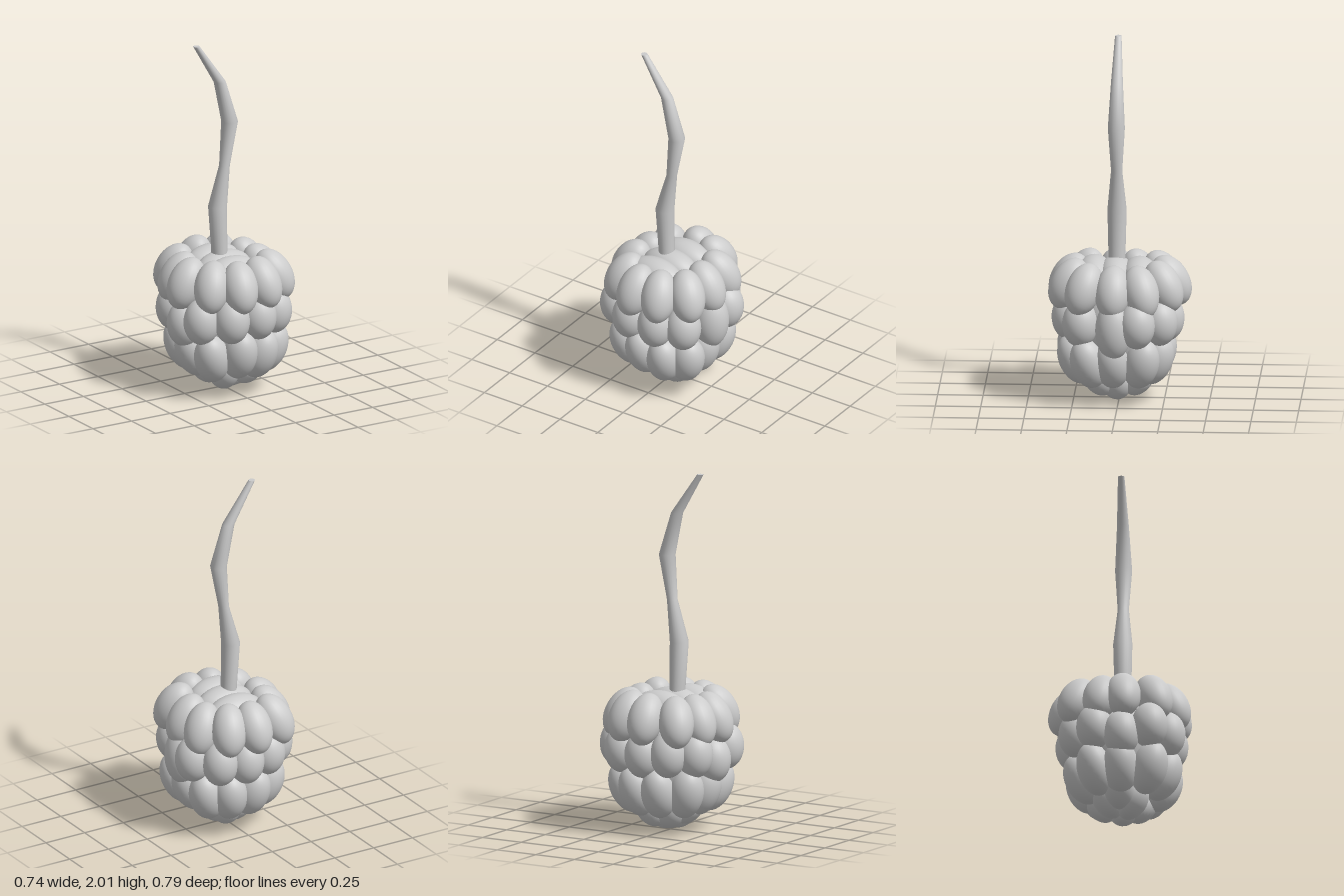
import * as THREE from 'three';

const material = new THREE.MeshStandardMaterial({ color: 0xcccccc });
const ball = new THREE.SphereGeometry(1, 28, 20);

// One row of drupelets: [x, y, z, optional half length] per lump,
// size = [half width, half length, half depth], tilt leans the tops outward.
function drupeletRow(name, lumps, size, tilt) {
  const row = new THREE.Group();
  row.name = name;
  for (const [x, y, z, length = size[1]] of lumps) {
    const lump = new THREE.Mesh(ball, material);
    lump.name = 'drupelet';
    lump.position.set(x, y, z);
    lump.scale.set(size[0], length, size[2]);
    lump.rotation.set(tilt, Math.atan2(x, z), 0, 'YXZ');
    row.add(lump);
  }
  return row;
}

// Tapered stem from horizontal rings: [x, y, half width x, half width z]
function stemGeometry(rings, z0, sides = 20) {
  const positions = [], index = [];
  const addRing = ([x, y, rx, rz]) => {
    for (let i = 0; i < sides; i++) {
      const a = (i / sides) * Math.PI * 2;
      positions.push(x + rx * Math.sin(a), y, z0 + rz * Math.cos(a));
    }
  };
  rings.forEach(addRing);
  for (let r = 0; r < rings.length - 1; r++) {
    for (let i = 0; i < sides; i++) {
      const a = r * sides + i, b = r * sides + ((i + 1) % sides);
      index.push(a, b, b + sides, a, b + sides, a + sides);
    }
  }
  // Flat cap with its own vertices
  const first = rings.length * sides;
  addRing(rings[rings.length - 1]);
  for (let i = 2; i < sides; i++) index.push(first, first + i - 1, first + i);
  const geometry = new THREE.BufferGeometry();
  geometry.setAttribute('position', new THREE.Float32BufferAttribute(positions, 3));
  geometry.setIndex(index);
  geometry.computeVertexNormals();
  return geometry;
}

export function createModel() {
  const berry = new THREE.Group();
  berry.name = 'berry';

  // Hidden core closes the gaps between lumps
  const core = new THREE.Mesh(ball, material);
  core.name = 'core';
  core.position.set(0, 0.43, 0);
  core.scale.set(0.26, 0.32, 0.27);
  berry.add(core);

  berry.add(drupeletRow('upperRow', [
    [-0.18, 0.65, -0.23], [-0.015, 0.66, -0.285], [0.125, 0.66, -0.25],
    [0.225, 0.65, -0.13], [0.235, 0.65, 0.025], [0.215, 0.66, 0.185],
    [0.085, 0.66, 0.275], [-0.065, 0.655, 0.28], [-0.195, 0.655, 0.195],
    [-0.26, 0.645, 0.03], [-0.235, 0.645, -0.095],
  ], [0.098, 0.15, 0.1], -0.5));

  berry.add(drupeletRow('middleRow', [
    [-0.11, 0.465, 0.265], [0.06, 0.465, 0.27], [0.2, 0.46, 0.205],
    [0.26, 0.44, 0.02, 0.165], [0.272, 0.47, -0.11], [0.17, 0.465, -0.23],
    [0.02, 0.455, -0.26], [-0.13, 0.465, -0.235], [-0.24, 0.46, -0.13],
    [-0.262, 0.41, 0.02], [-0.25, 0.46, 0.175],
  ], [0.1, 0.13, 0.1], 0));

  berry.add(drupeletRow('lowerRow', [
    [-0.18, 0.235, 0.17], [-0.04, 0.25, 0.235], [0.09, 0.235, 0.23],
    [0.195, 0.235, 0.16], [0.2, 0.235, 0.03], [0.195, 0.235, -0.13],
    [0.09, 0.235, -0.2], [-0.05, 0.235, -0.205], [-0.18, 0.235, -0.13],
    [-0.2, 0.235, 0.01],
  ], [0.098, 0.15, 0.1], 0.4));

  berry.add(drupeletRow('bottomLumps', [
    [0.07, 0.1, 0.015], [-0.04, 0.105, 0.07], [-0.04, 0.115, -0.07],
    [0.06, 0.125, -0.11], [-0.12, 0.14, 0], [0.1, 0.13, 0.11],
  ], [0.085, 0.115, 0.08], 0.6));

  // Wide flat lumps around the stem base
  for (const [x, z] of [[0, -0.11], [-0.01, 0.02], [-0.03, 0.14]]) {
    const lump = new THREE.Mesh(ball, material);
    lump.name = 'crownLump';
    lump.position.set(x, 0.69, z);
    lump.scale.set(0.17, 0.1, 0.1);
    berry.add(lump);
  }

  // Kinked stem
  const stem = new THREE.Mesh(stemGeometry([
    [-0.034, 0.7, 0.042, 0.047], [-0.036, 0.8, 0.044, 0.047],
    [-0.047, 1.05, 0.052, 0.053], [-0.002, 1.28, 0.029, 0.031],
    [0.031, 1.53, 0.046, 0.047], [-0.033, 1.77, 0.034, 0.033],
    [-0.184, 2, 0.018, 0.018],
  ], 0.015), material);
  stem.name = 'stem';
  berry.add(stem);

  return berry;
}
